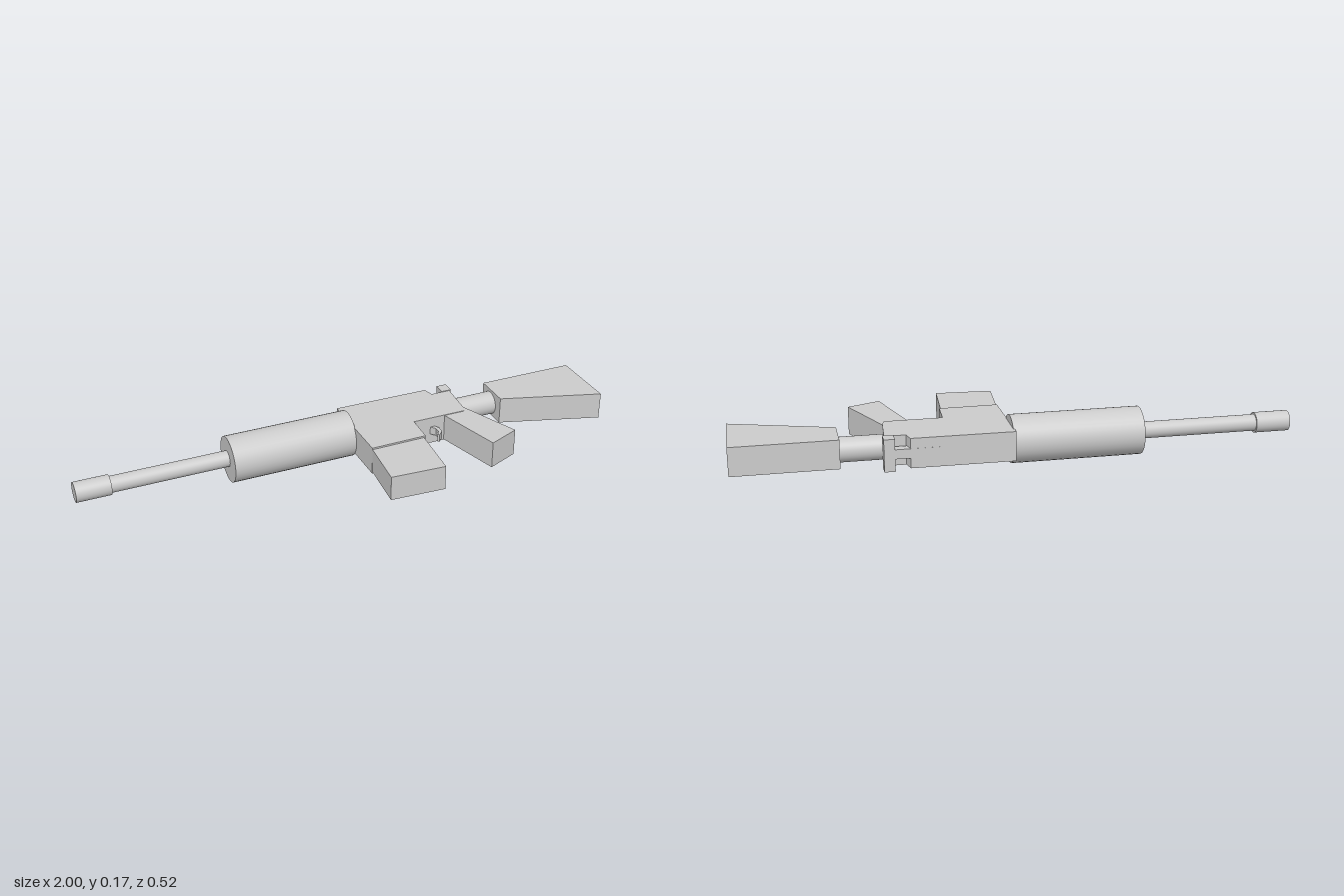
import * as THREE from 'three';

const MID = 0.087; // height of the centre plane; the model lies on its side

export function createModel() {
  const model = new THREE.Group();
  const smooth = new THREE.MeshStandardMaterial({ color: 0xcccccc });
  const flat = new THREE.MeshStandardMaterial({ color: 0xcccccc, flatShading: true });

  const add = (name, geometry, material, x, y, z) => {
    const mesh = new THREE.Mesh(geometry, material);
    mesh.name = name;
    mesh.position.set(x, y, z);
    model.add(mesh);
    return mesh;
  };

  // Cylinder along x from x0 to x1
  const rod = (name, x0, x1, radius, z) => {
    const geometry = new THREE.CylinderGeometry(radius, radius, x1 - x0, 32).rotateZ(Math.PI / 2);
    add(name, geometry, smooth, (x0 + x1) / 2, MID, z);
  };

  // Flat plate with an outline of [x, z] corners, centred on the middle height
  const plate = (name, outline, thickness, y = 0.09) => {
    const shape = new THREE.Shape(outline.map(([x, z]) => new THREE.Vector2(x, z)));
    const geometry = new THREE.ExtrudeGeometry(shape, { depth: thickness, bevelEnabled: false });
    geometry.translate(0, 0, -thickness / 2).rotateX(Math.PI / 2);
    add(name, geometry, flat, 0, y, 0);
  };

  // Barrel line
  rod('muzzle', -1, -0.873, 0.037, -0.173);
  rod('barrel', -0.88, -0.43, 0.03, -0.173);
  rod('handguard', -0.44, 0.03, 0.086, -0.167);
  rod('bufferTube', 0.46, 0.635, 0.044, -0.16);

  // Body with the magazine well, notched at the rear top
  plate('receiver', [
    [0.025, -0.26], [0.39, -0.257], [0.4, -0.217], [0.475, -0.217], [0.465, -0.085],
    [0.455, -0.055], [0.248, -0.055], [0.243, 0.052], [0.03, 0.055],
  ], 0.107);

  plate('magazine', [[0.032, 0.04], [0.238, 0.04], [0.222, 0.26], [0.016, 0.248]], 0.094);

  plate('grip', [[0.372, -0.06], [0.464, -0.09], [0.563, 0.143], [0.445, 0.192]], 0.103);

  plate('stock', [[0.625, -0.22], [0.997, -0.22], [0.997, 0.037], [0.625, -0.082]], 0.104);

  // Curved trigger
  plate('trigger', [
    [0.312, -0.06], [0.33, -0.06], [0.344, -0.04], [0.342, -0.01],
    [0.322, 0.01], [0.316, 0.005], [0.33, -0.015], [0.33, -0.036],
  ], 0.03);

  // Charging handle: stem along the top and a cross bar
  add('chargingHandleStem', new THREE.BoxGeometry(0.2, 0.034, 0.034), flat, 0.35, 0.09, -0.241);
  add('chargingHandleBar', new THREE.BoxGeometry(0.038, 0.116, 0.046), flat, 0.462, 0.088, -0.239);

  return model;
}
